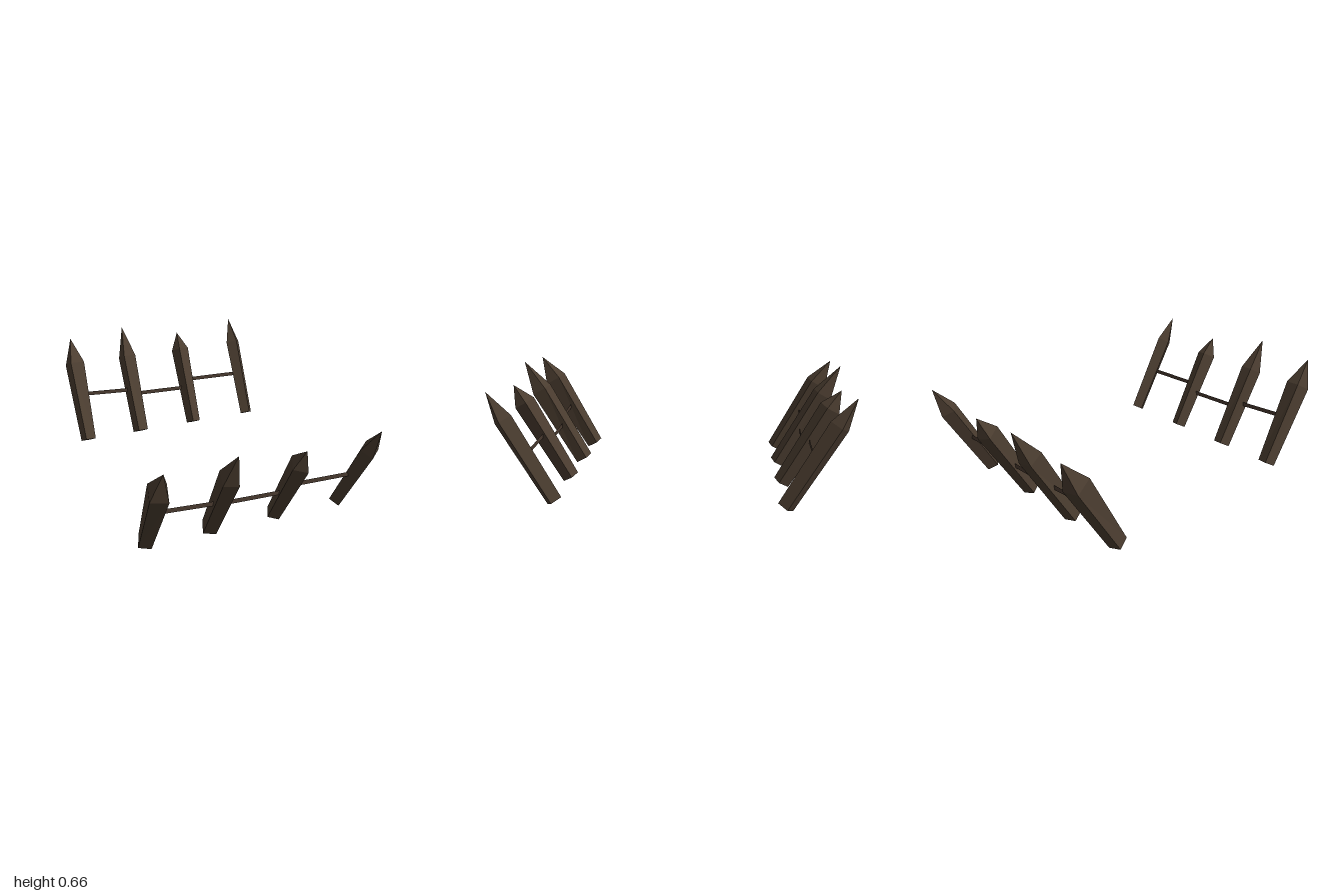
import * as THREE from 'three';

const LEAN = Math.PI / 6;
const FOOT = { y: 0.032, z: 0.633 };
const SHOULDER = 0.525; // distance along the stake where the point begins

// x, total length, foot radius, shoulder radius, foot twist, shoulder twist (degrees)
const STAKES = [
  [-0.585, 0.7, 0.05, 0.067, 27, 33],
  [-0.216, 0.733, 0.051, 0.06, 28, 34],
  [0.176, 0.647, 0.046, 0.057, 20, 22],
  [0.588, 0.7, 0.045, 0.051, -10, -9],
];

// x and y of both ends of each strip
const RAILS = [
  [-0.6, 0.307, -0.2, 0.281],
  [-0.216, 0.26, 0.176, 0.247],
  [0.176, 0.298, 0.63, 0.285],
];

// Four-sided stake, tapering to its foot and sharpened to a point; side is +1 or -1 in z
function stakeGeometry([x, length, rFoot, rTop, twistFoot, twistTop], side) {
  const s = Math.sin(LEAN), c = Math.cos(LEAN);
  const pos = [];
  const put = (u, v, w) => pos.push(x + u, FOOT.y + w * c - v * s, side * (FOOT.z + w * s + v * c));
  const ring = (r, twist, w, depth) => {
    for (let i = 0; i < 4; i++) {
      const a = THREE.MathUtils.degToRad(twist + i * 90);
      put(r * Math.sin(a), depth * r * Math.cos(a), w);
    }
  };
  ring(rFoot, twistFoot, 0, 1.08);
  ring(rTop, twistTop, SHOULDER, 1.12);
  put(0, 0, length);

  const index = [];
  const tri = (a, b, d) => (side > 0 ? index.push(a, b, d) : index.push(a, d, b));
  for (let i = 0; i < 4; i++) {
    const j = (i + 1) % 4;
    tri(i, j, 4 + j);
    tri(i, 4 + j, 4 + i);
    tri(4 + i, 4 + j, 8);
  }
  tri(0, 3, 2);
  tri(0, 2, 1);

  const g = new THREE.BufferGeometry();
  g.setAttribute('position', new THREE.Float32BufferAttribute(pos, 3));
  g.setIndex(index);
  const flat = g.toNonIndexed();
  flat.computeVertexNormals();
  return flat;
}

export function createModel() {
  const wood = new THREE.MeshStandardMaterial({ color: 0x4b3d30, flatShading: true });
  wood.name = 'darkWood';
  const strip = new THREE.MeshStandardMaterial({ color: 0x4a3b30, side: THREE.DoubleSide });
  strip.name = 'railWood';

  const model = new THREE.Group();
  model.name = 'spikeBarricade';

  for (const side of [1, -1]) {
    const row = new THREE.Group();
    row.name = side > 0 ? 'frontRow' : 'backRow';

    // Sharpened stakes leaning outward
    STAKES.forEach((spec, i) => {
      const stake = new THREE.Mesh(stakeGeometry(spec, side), wood);
      stake.name = `stake${i + 1}`;
      row.add(stake);
    });

    // Flat upright strips joining neighbouring stakes
    RAILS.forEach(([x0, y0, x1, y1], i) => {
      const rail = new THREE.Mesh(new THREE.PlaneGeometry(Math.hypot(x1 - x0, y1 - y0), 0.027), strip);
      const y = (y0 + y1) / 2;
      rail.position.set((x0 + x1) / 2, y, side * (FOOT.z + (y - FOOT.y) * Math.tan(LEAN)));
      rail.rotation.z = Math.atan2(y1 - y0, x1 - x0);
      rail.name = `rail${i + 1}`;
      row.add(rail);
    });

    model.add(row);
  }
  return model;
}
